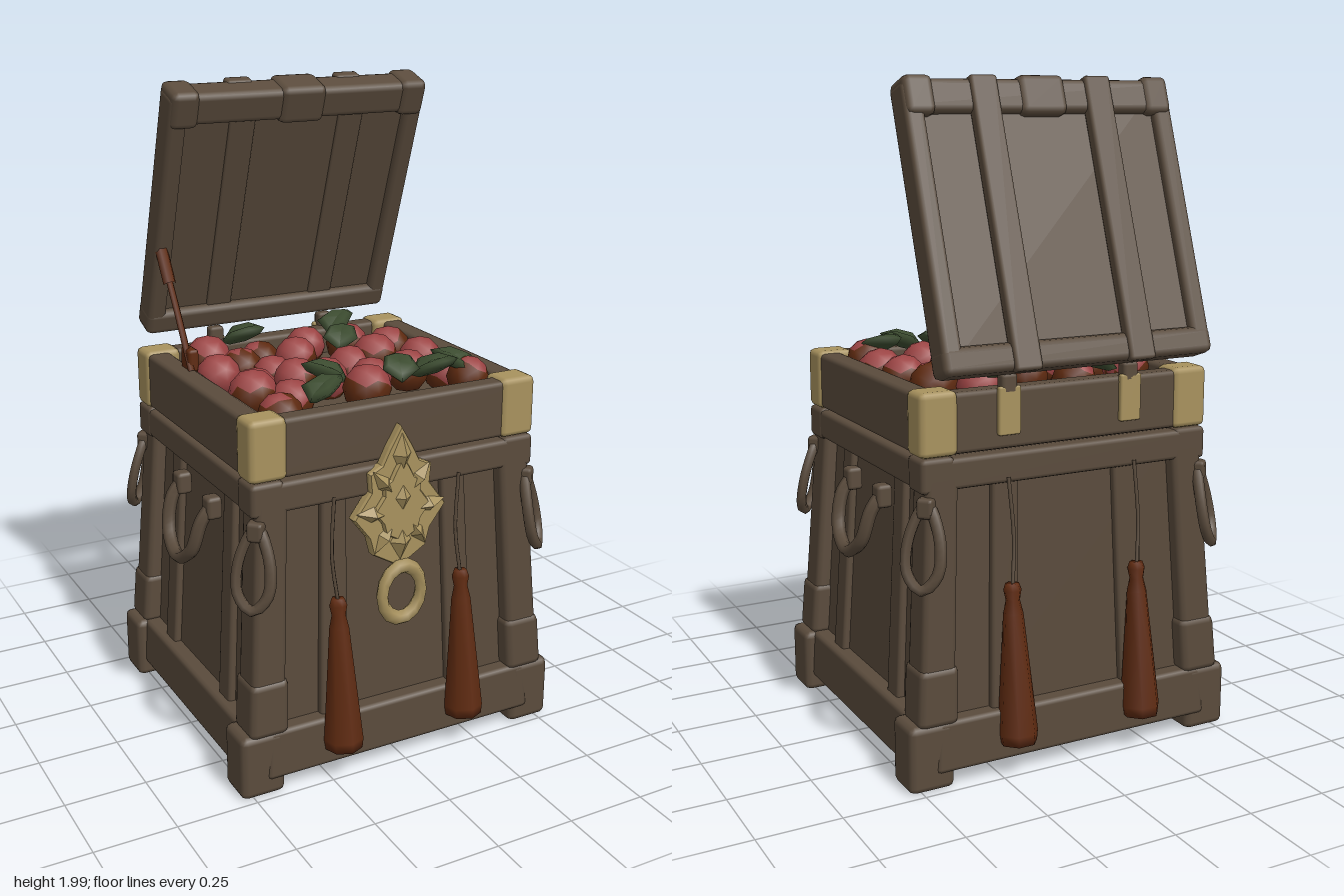
import * as THREE from 'three';
import { RoundedBoxGeometry } from 'three/addons/geometries/RoundedBoxGeometry.js';

const mat = (name, color, side = THREE.FrontSide) => {
  const m = new THREE.MeshStandardMaterial({ color, side });
  m.name = name;
  return m;
};
const V = (x, y, z) => new THREE.Vector3(x, y, z);

export function createModel() {
  const wood = mat('dark wood', 0x5a4b3c);
  const brass = mat('brass', 0xa8925e);
  const rust = mat('rust brown', 0x5e2a10);
  const red = mat('fruit red', 0x9c4444);
  const green = mat('leaf green', 0x3c4c30, THREE.DoubleSide);

  const root = new THREE.Group();
  root.name = 'fruitChest';
  const group = (name, parent = root) => {
    const g = new THREE.Group();
    g.name = name;
    parent.add(g);
    return g;
  };
  const add = (parent, name, geo, m) => {
    const mesh = new THREE.Mesh(geo, m);
    mesh.name = name;
    parent.add(mesh);
    return mesh;
  };
  // Chamfered beam given by its size and centre
  const beam = (w, h, d, x, y, z, r = 0.014) =>
    new RoundedBoxGeometry(w, h, d, 1, r).translate(x, y, z);
  // Walls lean inwards towards the top
  const taper = (geo) => {
    const p = geo.attributes.position;
    for (let i = 0; i < p.count; i++) {
      const k = 1 - 0.13 * (p.getY(i) - 0.2);
      p.setX(i, p.getX(i) * k);
      p.setZ(i, p.getZ(i) * k);
    }
    geo.computeBoundingSphere();
    return geo;
  };
  const tube = (points, r, sides = 6, closed = false) =>
    new THREE.TubeGeometry(new THREE.CatmullRomCurve3(points, closed), points.length * 4, r, sides, closed);

  // Box body: core, feet, posts, rails and boards
  const body = group('body');
  add(body, 'core', taper(new THREE.BoxGeometry(0.91, 0.9, 0.86).translate(0, 0.5, 0)), wood);
  for (const sx of [-1, 1]) {
    for (const sz of [-1, 1]) {
      add(body, 'foot', beam(0.14, 0.2, 0.13, sx * 0.468, 0.1, sz * 0.418, 0.02), wood);
      add(body, 'post', taper(beam(0.11, 0.76, 0.11, sx * 0.447, 0.57, sz * 0.423, 0.018)), wood);
      add(body, 'postBase', taper(beam(0.125, 0.17, 0.125, sx * 0.447, 0.275, sz * 0.423, 0.02)), wood);
      add(body, 'postCap', beam(0.105, 0.1, 0.1, sx * 0.42, 0.905, sz * 0.385), wood);
    }
    add(body, 'sideBottomRail', taper(beam(0.08, 0.15, 0.8, sx * 0.465, 0.125, 0)), wood);
    add(body, 'sideTopRail', beam(0.06, 0.09, 0.8, sx * 0.44, 0.905, 0), wood);
    add(body, 'frontBackBottomRail', taper(beam(0.9, 0.15, 0.08, 0, 0.125, sx * 0.44)), wood);
    add(body, 'frontBackTopRail', beam(0.84, 0.09, 0.06, 0, 0.905, sx * 0.405), wood);
    for (const s of [-1, 1]) {
      add(body, 'sideBoard', taper(beam(0.035, 0.68, 0.08, sx * 0.46, 0.53, s * 0.215, 0.01)), wood);
      add(body, 'frontBackBoard', taper(beam(0.09, 0.68, 0.035, s * 0.22, 0.53, sx * 0.435, 0.01)), wood);
    }
  }

  // Open rim with brass corners and hinge plates
  const rim = group('rim');
  for (const s of [-1, 1]) {
    add(rim, 'rimSide', beam(0.075, 0.175, 0.8, s * 0.428, 1.045, 0), wood);
    add(rim, 'rimFrontBack', beam(0.88, 0.175, 0.07, 0, 1.045, s * 0.39), wood);
    for (const t of [-1, 1])
      add(rim, 'brassCorner', beam(0.118, 0.185, 0.1, s * 0.415, 1.048, t * 0.383, 0.018), brass);
    add(rim, 'hingePlate', beam(0.07, 0.14, 0.02, s * 0.2, 1.07, -0.43, 0.006), brass);
    add(rim, 'hingeArm', beam(0.05, 0.06, 0.04, s * 0.2, 1.145, -0.42, 0.01), wood);
  }

  // Raised lid, tilted backwards around its lower edge
  const lid = group('lid');
  lid.position.set(0, 1.185, -0.472);
  lid.rotation.x = 0.34;
  add(lid, 'lidPanel', beam(0.82, 0.8, 0.045, 0, 0.42, 0, 0.01), wood);
  add(lid, 'lidTopBeam', beam(0.84, 0.1, 0.1, 0, 0.78, 0, 0.02), wood);
  add(lid, 'lidBottomBeam', beam(0.87, 0.08, 0.1, 0, 0.04, 0, 0.02), wood);
  add(lid, 'lidTopKnob', beam(0.15, 0.118, 0.118, 0, 0.78, 0, 0.02), wood);
  for (const s of [-1, 1]) {
    add(lid, 'lidSideBeam', beam(0.06, 0.8, 0.095, s * 0.403, 0.42, 0, 0.015), wood);
    add(lid, 'lidCorner', beam(0.09, 0.115, 0.115, s * 0.385, 0.78, 0, 0.02), wood);
    add(lid, 'lidOuterStrap', beam(0.085, 0.84, 0.04, s * 0.185, 0.415, -0.04, 0.01), wood);
    add(lid, 'lidInnerBoard', beam(0.085, 0.72, 0.014, s * 0.185, 0.42, 0.024, 0.005), wood);
  }

  // Strut that props the lid
  const strut = group('lidStrut');
  add(strut, 'strutRod', tube([V(-0.41, 1.13, -0.12), V(-0.41, 1.3, -0.225), V(-0.41, 1.47, -0.34)], 0.011), rust);
  add(strut, 'strutSleeve', tube([V(-0.41, 1.37, -0.275), V(-0.41, 1.43, -0.313), V(-0.41, 1.48, -0.345)], 0.021), rust);
  add(strut, 'strutFoot', beam(0.035, 0.07, 0.07, -0.4, 1.16, -0.155, 0.01), rust);

  // Hanging side handles and corner loops
  const handles = group('handles');
  for (const s of [-1, 1]) {
    add(handles, 'sideHandle', tube([
      V(s * 0.45, 0.79, 0.115), V(s * 0.49, 0.74, 0.115), V(s * 0.515, 0.64, 0.09), V(s * 0.525, 0.59, 0),
      V(s * 0.515, 0.64, -0.09), V(s * 0.49, 0.74, -0.115), V(s * 0.45, 0.79, -0.115)], 0.021), wood);
    for (const t of [-1, 1]) {
      add(handles, 'handleMount', beam(0.05, 0.07, 0.055, s * 0.455, 0.78, t * 0.115, 0.012), wood);
      const loop = group('cornerLoop', handles);
      loop.position.set(s * 0.465, 0.71, t * 0.435);
      loop.rotation.y = Math.atan2(s, t);
      add(loop, 'loopRing', tube([V(0, 0.12, -0.015), V(0.045, 0.03, 0.005), V(0.045, -0.07, 0.025),
        V(0, -0.115, 0.035), V(-0.045, -0.07, 0.025), V(-0.045, 0.03, 0.005)], 0.017, 6, true), wood);
      add(loop, 'loopMount', beam(0.05, 0.06, 0.06, 0, 0.11, -0.02, 0.012), wood);
    }
  }

  // Tassels on cords, flaring downwards and outwards
  const profile = [[0, 0.47], [0.02, 0.47], [0.027, 0.45], [0.021, 0.42], [0.03, 0.38], [0.06, 0.03], [0.056, 0], [0, 0]]
    .map(([r, y]) => new THREE.Vector2(r, y)).reverse();
  const tasselGeo = new THREE.LatheGeometry(profile, 7);
  const tassels = group('tassels');
  for (const x of [-0.215, 0.205]) for (const s of [-1, 1]) {
    const tassel = add(tassels, 'tassel', tasselGeo, rust);
    tassel.position.set(x, 0.105, s * 0.5);
    tassel.rotation.x = -s * 0.085;
    add(tassels, 'cord', tube([V(x, 0.56, s * 0.462), V(x - 0.012, 0.7, s * 0.447), V(x, 0.88, s * 0.437)], 0.006, 5), wood);
  }

  // Ornate brass lock plate with a ring
  const lock = group('lock');
  const half = [[0.035, 1.0], [0.06, 0.95], [0.1, 0.93], [0.095, 0.875], [0.15, 0.8], [0.1, 0.735], [0.085, 0.68]];
  const outline = [[0, 1.06], ...half, [0, 0.63], ...half.slice().reverse().map(([x, y]) => [-x, y])];
  const plate = (k, depth) => new THREE.ExtrudeGeometry(
    new THREE.Shape(outline.map(([x, y]) => new THREE.Vector2(x * k, 0.84 + (y - 0.84) * k))),
    { depth, bevelEnabled: true, bevelSize: 0.004, bevelThickness: 0.008, bevelSegments: 1 }).translate(-0.005, 0, 0.425);
  add(lock, 'lockPlate', plate(1, 0.022), brass);
  add(lock, 'lockInnerPlate', plate(0.6, 0.035), brass);
  const boss = (x, y, w, h, turn) => {
    const m = add(lock, 'lockPetal', new THREE.OctahedronGeometry(1), brass);
    m.scale.set(w, h, 0.03);
    m.position.set(x - 0.005, y, 0.457);
    m.rotation.z = turn;
  };
  boss(0, 0.98, 0.03, 0.065, 0);
  boss(0, 0.85, 0.04, 0.06, 0);
  boss(0, 0.71, 0.035, 0.06, 0);
  for (const s of [-1, 1]) {
    boss(s * 0.06, 0.9, 0.022, 0.055, -s * 0.7);
    boss(s * 0.095, 0.81, 0.024, 0.055, -s * 1.4);
    boss(s * 0.055, 0.73, 0.022, 0.055, s * 0.6);
  }
  const ring = add(lock, 'lockRing', new THREE.TorusGeometry(0.07, 0.02, 6, 14), brass);
  ring.scale.set(0.95, 1.2, 1);
  ring.position.set(-0.005, 0.55, 0.468);

  // Fruit heap: each fruit is red on one side and brown on the other
  const contents = group('contents');
  add(contents, 'contentsBed', new THREE.BoxGeometry(0.8, 0.1, 0.72).translate(0, 1.0, 0), wood);
  const fruits = [[-0.33, -0.1], [-0.17, -0.05], [-0.05, -0.13], [0.09, -0.03], [0.18, -0.03], [0.33, 0], [-0.28, 0.06],
    [-0.15, 0.07], [-0.04, 0.05], [-0.33, 0.15], [-0.23, 0.2], [0.07, 0.14], [0.2, 0.14], [0.34, 0.15], [-0.01, 0.26],
    [-0.31, 0.29], [0.33, 0.28], [-0.24, -0.13], [0.3, -0.15], [-0.3, -0.25], [-0.13, -0.23], [0.04, -0.24], [0.2, -0.25]];
  const browner = [15, 16, 17, 18, 20];
  fruits.forEach(([x, z], i) => {
    const geo = new THREE.IcosahedronGeometry(0.07 + 0.005 * Math.sin(i * 5), 1);
    const p = geo.attributes.position;
    const dir = V(Math.sin(i * 2.4) * 0.5, 1, Math.cos(i * 2.4) * 0.5).normalize();
    const faces = [[], []];
    for (let f = 0; f < p.count; f += 3) {
      const c = V(0, 0, 0);
      for (let k = 0; k < 3; k++) c.add(V(0, 0, 0).fromBufferAttribute(p, f + k));
      const isRed = c.normalize().dot(dir) > (browner.includes(i) ? 0.75 : 0.1);
      faces[isRed ? 0 : 1].push(f, f + 1, f + 2);
    }
    geo.setIndex(faces.flat());
    geo.addGroup(0, faces[0].length, 0);
    geo.addGroup(faces[0].length, faces[1].length, 1);
    const fruit = add(contents, 'fruit', geo, [red, rust]);
    fruit.position.set(x, 1.11 + 0.015 * Math.sin(i * 3.7), z);
  });

  // Leaves: folded diamond blades
  const leaves = [[-0.18, 0.32, 0.4], [0.11, 0.24, 1.2], [0.21, 0.28, -0.4], [0.29, 0.25, 2.2], [0.12, -0.14, 1],
    [-0.11, 0.18, 2.6], [0.2, -0.31, 0.6], [-0.15, -0.31, -0.5]];
  for (const [x, z, turn] of leaves) {
    const geo = new THREE.SphereGeometry(1, 6, 4).scale(0.075, 0.022, 0.05);
    const p = geo.attributes.position;
    for (let i = 0; i < p.count; i++) {
      const lx = p.getX(i);
      p.setZ(i, p.getZ(i) * (1.1 - lx * 5));
      p.setY(i, p.getY(i) + Math.abs(p.getZ(i)) * 0.4);
    }
    geo.computeVertexNormals();
    const leaf = add(contents, 'leaf', geo, green);
    leaf.position.set(x, 1.165, z);
    leaf.rotation.set(0, turn, 0.35);
  }
  return root;
}
